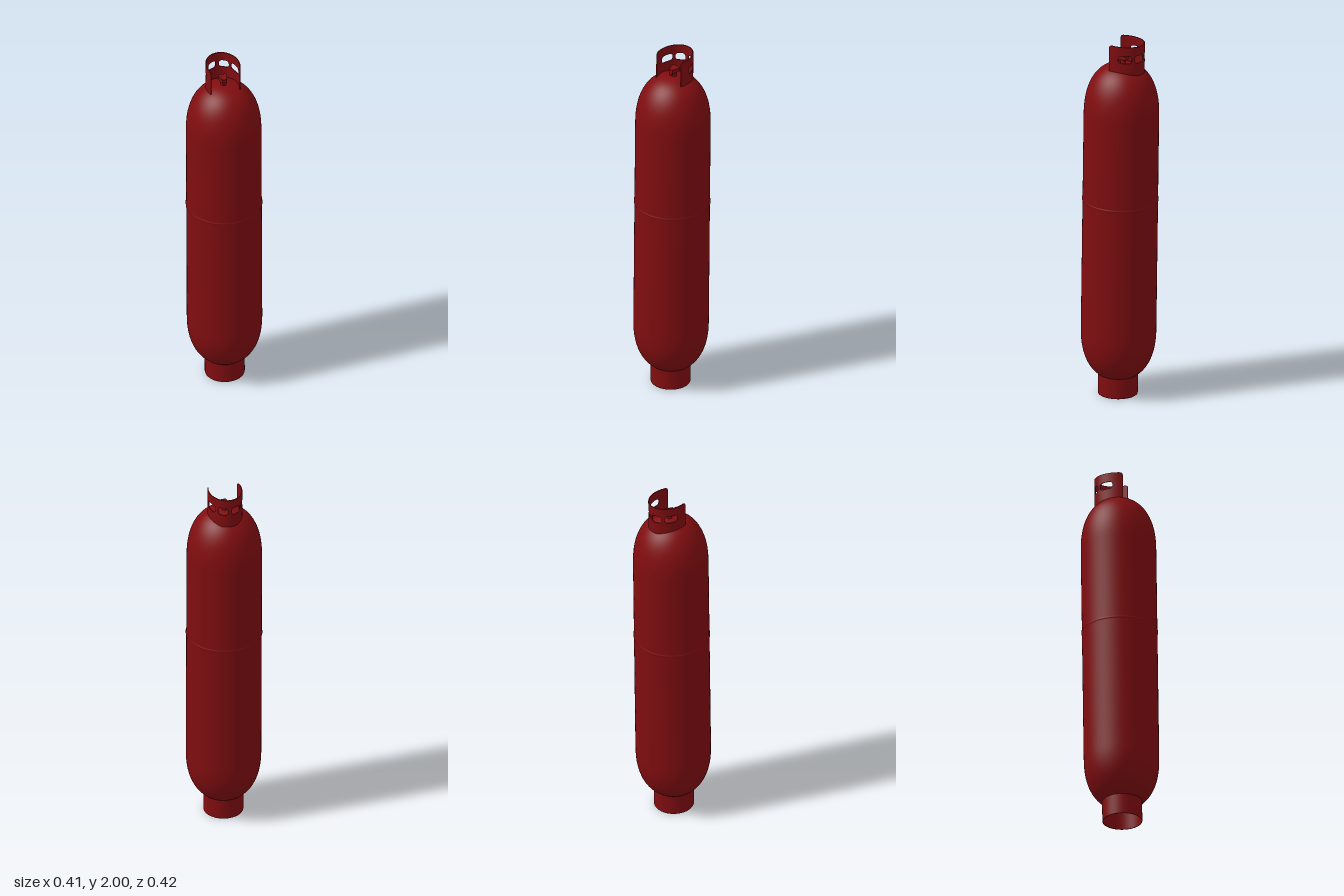
import * as THREE from 'three';

const paint = new THREE.MeshStandardMaterial({ color: 0x800d10, side: THREE.DoubleSide });

function part(name, geometry, parent) {
  const mesh = new THREE.Mesh(geometry, paint);
  mesh.name = name;
  parent.add(mesh);
  return mesh;
}

// Profile of the tank: rounded bottom, straight wall with a weld bead, rounded top
function tankProfile() {
  const R = 0.2, n = 24, pts = [];
  const dome = (t, y, h) => new THREE.Vector2(
    R * Math.pow(Math.sin(t), 2 / 2.35), y + h * Math.pow(Math.cos(t), 2 / 2.35));
  for (let i = 0; i <= n; i++) pts.push(dome((i / n) * Math.PI / 2, 0.37, -0.285));
  for (const [r, y] of [[0.2, 1.097], [0.2025, 1.101], [0.2035, 1.105], [0.2025, 1.109], [0.2, 1.113]])
    pts.push(new THREE.Vector2(r, y));
  for (let i = n; i >= 0; i--) pts.push(dome((i / n) * Math.PI / 2, 1.58, 0.295));
  pts[0].x = pts[pts.length - 1].x = 0;
  return pts;
}

// Collar windows, as start and end angles in degrees (0 = left side, 90 = back)
const WINDOWS = [[2, 41], [49, 84], [96, 131], [139, 178]];

// Half height of the window opening at a given angle
function opening(deg) {
  for (const [a, b] of WINDOWS) {
    const t = (2 * deg - a - b) / (b - a);
    if (Math.abs(t) < 1) return 0.021 * Math.sqrt(1 - Math.pow(Math.abs(t), 5));
  }
  return 0;
}

// Bends a thin box round the collar's oval plan; low and high give its edges per angle
function collarBand(low, high) {
  const g = new THREE.BoxGeometry(1, 1, 1, 232, 1, 1);
  const p = g.attributes.position;
  for (let i = 0; i < p.count; i++) {
    const deg = -26 + 232 * (p.getX(i) + 0.5);
    const a = THREE.MathUtils.degToRad(deg);
    const out = p.getZ(i) * 0.005;
    const y = p.getY(i) > 0 ? high(deg) : low(deg);
    p.setXYZ(i, (0.0885 + out) * Math.cos(a), y, -0.008 - (0.113 + out) * Math.sin(a));
  }
  g.computeVertexNormals();
  return g;
}

// Top edge of the collar, rounded off at its two free ends
function collarTop(deg) {
  const t = Math.min(1, Math.min(deg + 26, 206 - deg) / 8);
  return 2 - 0.015 * (1 - Math.sqrt(1 - (1 - t) ** 2));
}

export function createModel() {
  const model = new THREE.Group();
  model.name = 'gasCylinder';

  // The whole cylinder leans back slightly
  const body = new THREE.Group();
  body.name = 'leaningBody';
  body.rotation.x = -0.013;
  body.position.set(0, 0.001, 0.013);
  model.add(body);

  part('tank', new THREE.LatheGeometry(tankProfile(), 64), body);

  // Foot ring, open underneath
  const ring = [[0.102, 0.125], [0.102, 0.003], [0.103, 0.001], [0.105, 0.001], [0.106, 0.003], [0.106, 0.125]];
  part('footRing', new THREE.LatheGeometry(ring.map(([r, y]) => new THREE.Vector2(r, y)), 48), body);

  // Weld strip inside the foot ring
  const strip = part('footRingSeam', new THREE.BoxGeometry(0.03, 0.09, 0.004), body);
  strip.position.set(-0.083, 0.05, 0.058);
  strip.rotation.y = -0.96;

  // Guard collar: lower and upper bands that meet at the posts between windows
  const collar = new THREE.Group();
  collar.name = 'guardCollar';
  body.add(collar);
  const mid = 1.929;
  part('collarLower', collarBand(() => 1.835, d => mid - opening(d)), collar);
  part('collarUpper', collarBand(d => mid + opening(d), collarTop), collar);

  // Valve: stem, shield-shaped body and front outlet
  const valve = new THREE.Group();
  valve.name = 'valve';
  body.add(valve);
  const stem = part('valveStem', new THREE.CylinderGeometry(0.012, 0.015, 0.04, 16), valve);
  stem.position.set(0, 1.88, -0.005);

  const shield = new THREE.Shape();
  shield.moveTo(-0.012, -0.023);
  shield.lineTo(0.012, -0.023);
  shield.lineTo(0.024, 0.02);
  shield.quadraticCurveTo(0.024, 0.03, 0.014, 0.031);
  shield.lineTo(-0.014, 0.031);
  shield.quadraticCurveTo(-0.024, 0.03, -0.024, 0.02);
  const head = part('valveHead', new THREE.ExtrudeGeometry(shield, {
    depth: 0.022, bevelEnabled: false, curveSegments: 6 }), valve);
  head.rotation.x = -Math.PI / 2;
  head.position.set(0, 1.9, 0);

  const outlet = part('valveOutlet', new THREE.CylinderGeometry(0.009, 0.009, 0.02, 16), valve);
  outlet.rotation.x = Math.PI / 2;
  outlet.position.set(0, 1.895, 0.014);

  return model;
}
